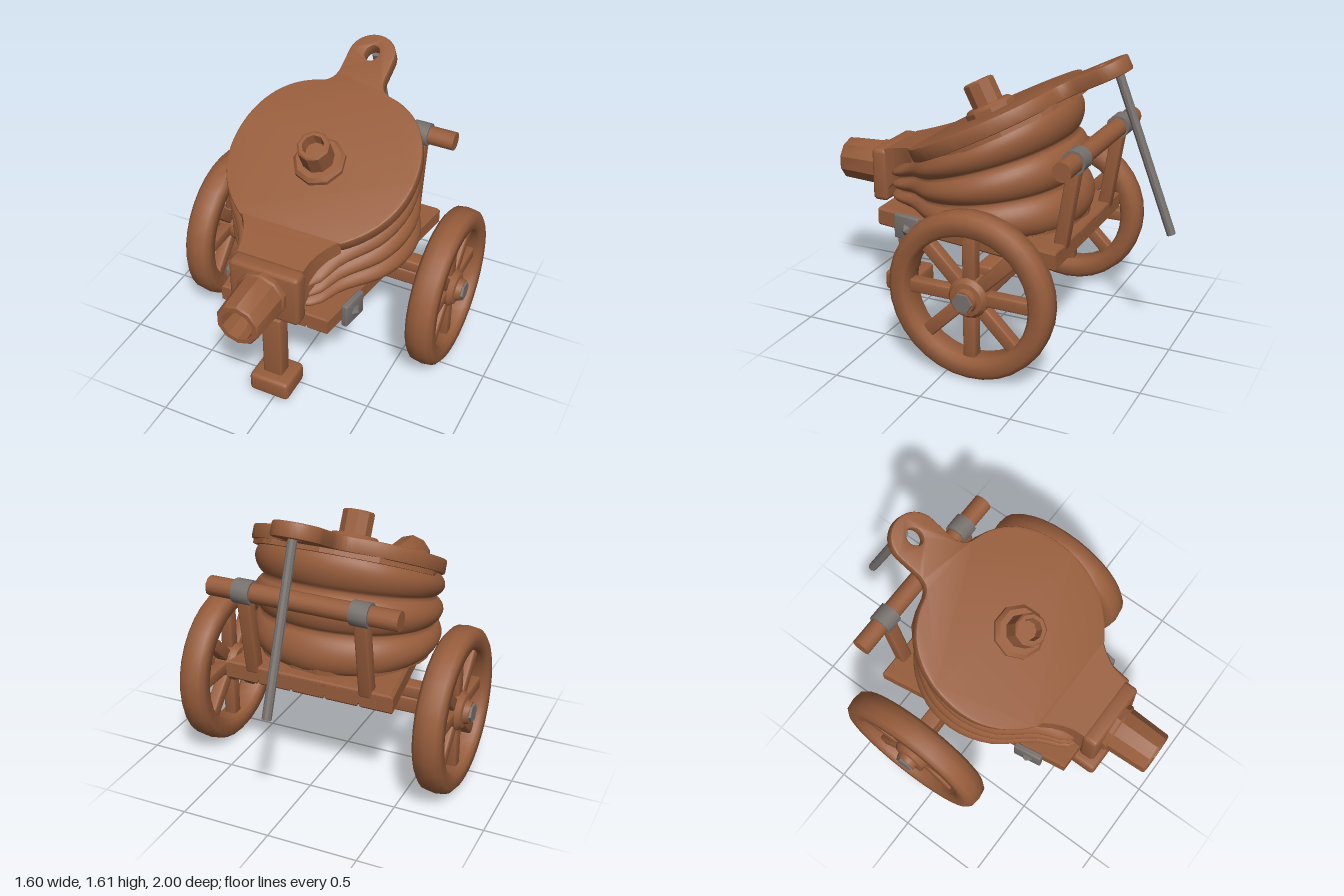
import * as THREE from 'three';
import { toCreasedNormals } from 'three/addons/utils/BufferGeometryUtils.js';
import { RoundedBoxGeometry } from 'three/addons/geometries/RoundedBoxGeometry.js';

const wood = new THREE.MeshStandardMaterial({ color: 0x965c3b });
wood.name = 'brown wood';
const iron = new THREE.MeshStandardMaterial({ color: 0x77716d });
iron.name = 'grey iron';

const V2 = (p) => new THREE.Vector2(p[0], p[1]);
const V3 = (x, y, z) => new THREE.Vector3(x, y, z);
const TILT = 0.473; // slope of the upper board

function add(parent, name, geo, mat, x = 0, y = 0, z = 0, crease = 0.55) {
  const mesh = new THREE.Mesh(crease ? toCreasedNormals(geo, crease) : geo, mat);
  mesh.name = name;
  mesh.position.set(x, y, z);
  parent.add(mesh);
  return mesh;
}
const box = (w, h, d, r = 0.012) => new RoundedBoxGeometry(w, h, d, 2, r);
const lathe = (pts, n) => new THREE.LatheGeometry(pts.map(V2), n);

// Cylinder or box running from a to b
function between(parent, name, geo, mat, a, b) {
  const m = add(parent, name, geo, mat);
  m.position.copy(a).add(b).multiplyScalar(0.5);
  m.quaternion.setFromUnitVectors(V3(0, 1, 0), b.clone().sub(a).normalize());
  return m;
}

// Plan outline of the leather, front -> +x -> back -> -x
function bellowsOutline(n) {
  const half = [[0.2, 0.6], [0.31, 0.42], [0.47, 0.22], [0.53, 0], [0.49, -0.22], [0.32, -0.43]];
  const pts = [...half, [0, -0.52], ...half.map(([x, z]) => [-x, z]).reverse()];
  const curve = new THREE.CatmullRomCurve3(pts.map(([x, z]) => V3(x, 0, z)), true);
  return curve.getSpacedPoints(n).slice(0, n);
}

// Folded leather between the flat base and the tilted board
function bellowsGeometry() {
  const n = 56, rows = 36, pos = [], idx = [];
  const ring = bellowsOutline(n);
  for (let j = 0; j <= rows; j++) {
    const t = j / rows;
    const bulge = Math.pow(Math.abs(Math.sin(3 * Math.PI * t)), 0.65);
    const s = 0.89 + 0.11 * bulge;
    for (const p of ring) {
      const x = p.x * s, z = 0.05 + (p.z - 0.05) * s;
      const topZ = 0.6 - (0.6 - z) * 0.9;
      const topY = 0.975 + 0.511 * (0.43 - topZ);
      pos.push(x, THREE.MathUtils.lerp(0.69, topY, t), THREE.MathUtils.lerp(z, topZ, t));
    }
  }
  for (let j = 0; j < rows; j++) for (let i = 0; i < n; i++) {
    const a = j * n + i, b = j * n + (i + 1) % n;
    idx.push(a, b, a + n, b, b + n, a + n);
  }
  const g = new THREE.BufferGeometry();
  g.setAttribute('position', new THREE.Float32BufferAttribute(pos, 3));
  g.setIndex(idx);
  g.computeVertexNormals();
  return g;
}

// Thin ragged leather edge, lying in the XY plane
function raggedEdge(depth, scale) {
  let seed = 7;
  const rnd = () => (seed = (seed * 16807) % 2147483647) / 2147483647;
  const pts = bellowsOutline(44).map((p) => {
    const s = scale * (0.97 + 0.045 * rnd());
    return new THREE.Vector2(p.x * s, -(0.05 + (p.z - 0.05) * s));
  });
  return new THREE.ExtrudeGeometry(new THREE.Shape(pts), { depth, bevelEnabled: false });
}

function buildBellows(root) {
  const g = new THREE.Group();
  g.name = 'bellows';
  root.add(g);
  add(g, 'foldedLeather', bellowsGeometry(), wood, 0, 0, 0, 0);
  add(g, 'lowerLeatherEdge', raggedEdge(0.05, 0.94), wood, 0, 0.7, 0, 0.3).rotation.x = -Math.PI / 2;

  // Upper board: y of this frame climbs along the board, z is its normal
  const lid = new THREE.Group();
  lid.name = 'upperBoard';
  lid.position.set(0, 1.05, 0.43);
  lid.rotation.x = TILT - Math.PI / 2;
  g.add(lid);
  const s = new THREE.Shape();
  s.moveTo(-0.29, 0);
  s.lineTo(0.29, 0);
  s.bezierCurveTo(0.43, 0.1, 0.52, 0.24, 0.52, 0.43);
  s.bezierCurveTo(0.52, 0.64, 0.42, 0.83, 0.21, 0.88);
  s.quadraticCurveTo(0.125, 0.9, 0.125, 1.0);
  s.lineTo(0.125, 1.12);
  s.absarc(0, 1.12, 0.125, 0, Math.PI, false);
  s.lineTo(-0.125, 1.0);
  s.quadraticCurveTo(-0.125, 0.9, -0.21, 0.88);
  s.bezierCurveTo(-0.42, 0.83, -0.52, 0.64, -0.52, 0.43);
  s.bezierCurveTo(-0.52, 0.24, -0.43, 0.1, -0.29, 0);
  const hole = new THREE.Path();
  hole.absellipse(0, 1.13, 0.05, 0.06, 0, Math.PI * 2, true);
  s.holes.push(hole);
  add(lid, 'boardWithHandle', new THREE.ExtrudeGeometry(s, {
    depth: 0.06, bevelThickness: 0.01, bevelSize: 0.01, bevelSegments: 2, curveSegments: 14,
  }), wood, 0, 0, -0.07);
  add(lid, 'upperLeatherEdge', raggedEdge(0.03, 0.97), wood, 0, 0.43, -0.105, 0.3);

  // Hollow plug with its flange
  const plug = lathe([[0.145, -0.01], [0.145, 0.025], [0.125, 0.045], [0.09, 0.045], [0.09, 0.17],
    [0.08, 0.18], [0.06, 0.18], [0.052, 0.12], [0, 0.12]], 9);
  add(lid, 'fillerPlug', plug, wood, 0, 0.4, 0).rotation.x = Math.PI / 2;

  // Neck between board and nozzle, flared toward the board
  const neck = new THREE.BoxGeometry(1, 1, 1, 1, 1, 4);
  const p = neck.attributes.position;
  for (let i = 0; i < p.count; i++) {
    const t = 0.5 - p.getZ(i);
    const top = 0.985 + 0.065 * t, bottom = 0.74 + 0.22 * t;
    p.setXYZ(i, Math.sign(p.getX(i)) * (0.19 + 0.1 * t * t), p.getY(i) > 0 ? top : bottom, 0.65 - 0.23 * t);
  }
  add(g, 'neck', neck, wood, 0, 0, 0, 0.4);
  add(g, 'nozzleBlock', box(0.4, 0.31, 0.095, 0.025), wood, 0, 0.828, 0.685);
  const nozzle = lathe([[0.142, 0], [0.142, 0.03], [0.132, 0.04], [0.122, 0.265], [0.115, 0.275],
    [0.088, 0.275], [0.078, 0.12], [0, 0.12]], 10);
  add(g, 'nozzle', nozzle, wood, 0, 0.832, 0.725).rotation.x = Math.PI / 2;
}

function buildFrame(root) {
  const g = new THREE.Group();
  g.name = 'cartFrame';
  root.add(g);
  // Tapered platform of planks: half width at the back and front
  const back = 0.49, front = 0.32, planks = 5;
  const slab = (u0, u1, gap, depth) => new THREE.ExtrudeGeometry(new THREE.Shape([
    [u0 * front + gap, -0.62], [u1 * front - gap, -0.62], [u1 * back - gap, 0.51], [u0 * back + gap, 0.51],
  ].map(V2)), { depth, bevelThickness: 0.01, bevelSize: 0.008, bevelSegments: 1 });
  add(g, 'platformCore', slab(-0.98, 0.98, 0.01, 0.07), wood, 0, 0.605, 0).rotation.x = -Math.PI / 2;
  for (let i = 0; i < planks; i++) {
    const u = -1 + 2 * i / planks;
    add(g, 'plank', slab(u, u + 2 / planks, 0.012, 0.08), wood, 0, 0.59, 0).rotation.x = -Math.PI / 2;
  }
  add(g, 'axle', box(1.3, 0.095, 0.095), wood, 0, 0.463, -0.155);
  add(g, 'axleBeam', box(1.16, 0.07, 0.095), wood, 0, 0.545, -0.155);
  add(g, 'frontLeg', box(0.115, 0.46, 0.092), wood, -0.003, 0.365, 0.617);
  add(g, 'foot', box(0.235, 0.118, 0.21, 0.025), wood, 0, 0.131, 0.62);

  // Push bar on two leaning posts
  add(g, 'pushBar', new THREE.CylinderGeometry(0.053, 0.053, 1.07, 12), wood, -0.003, 1.14, -0.56)
    .rotation.z = Math.PI / 2;
  for (const s of [-1, 1]) {
    between(g, 'barPost', box(0.075, 0.5, 0.07), wood, V3(s * 0.33, 0.65, -0.485), V3(s * 0.33, 1.14, -0.56));
    add(g, 'barBand', new THREE.CylinderGeometry(0.066, 0.066, 0.1, 12), iron, s * 0.33, 1.14, -0.56)
      .rotation.z = Math.PI / 2;
    // Clamps at the front corners of the platform
    const clamp = new THREE.Group();
    clamp.name = 'clamp';
    clamp.position.set(s * 0.36, 0.615, 0.415);
    clamp.rotation.y = -s * 0.15;
    g.add(clamp);
    add(clamp, 'clampPlate', box(0.035, 0.14, 0.165, 0.008), iron);
    add(clamp, 'clampStud', new THREE.ConeGeometry(0.045, 0.03, 5), iron, s * 0.026, -0.01, 0)
      .rotation.z = -s * Math.PI / 2;
  }
  // Loose rod hanging from the handle
  between(g, 'handleRod', new THREE.CylinderGeometry(0.025, 0.025, 0.9, 10), iron,
    V3(-0.005, 1.515, -0.655), V3(-0.005, 0.69, -0.972));
}

// Wheel turned about its own y axis, outer side at +y
function buildWheel() {
  const w = new THREE.Group();
  w.name = 'wheel';
  const rim = [[0.34, -0.055], [0.36, -0.077], [0.425, -0.077], [0.452, -0.055], [0.46, 0],
    [0.452, 0.055], [0.425, 0.077], [0.36, 0.077], [0.34, 0.055], [0.34, -0.055]];
  add(w, 'rim', lathe(rim, 32), wood, 0, 0, 0, 0.9);
  for (let i = 0; i < 8; i++) {
    const a = i * Math.PI / 4;
    add(w, 'spoke', box(0.29, 0.07, 0.072), wood, Math.cos(a) * 0.215, 0, -Math.sin(a) * 0.215).rotation.y = a;
  }
  const hub = [[0, -0.075], [0.095, -0.075], [0.11, -0.05], [0.11, 0.04], [0.09, 0.065], [0.066, 0.07],
    [0.06, 0.1], [0, 0.1]];
  add(w, 'hub', lathe(hub, 16), wood);
  add(w, 'axleNut', new THREE.CylinderGeometry(0.054, 0.058, 0.03, 6), iron, 0, 0.097, 0);
  return w;
}

export function createModel() {
  const root = new THREE.Group();
  root.name = 'bellowsCart';
  buildBellows(root);
  buildFrame(root);
  for (const s of [-1, 1]) {
    const wheel = buildWheel();
    wheel.position.set(s * 0.69, 0.464, -0.14);
    wheel.rotation.z = -s * Math.PI / 2;
    root.add(wheel);
  }
  return root;
}
